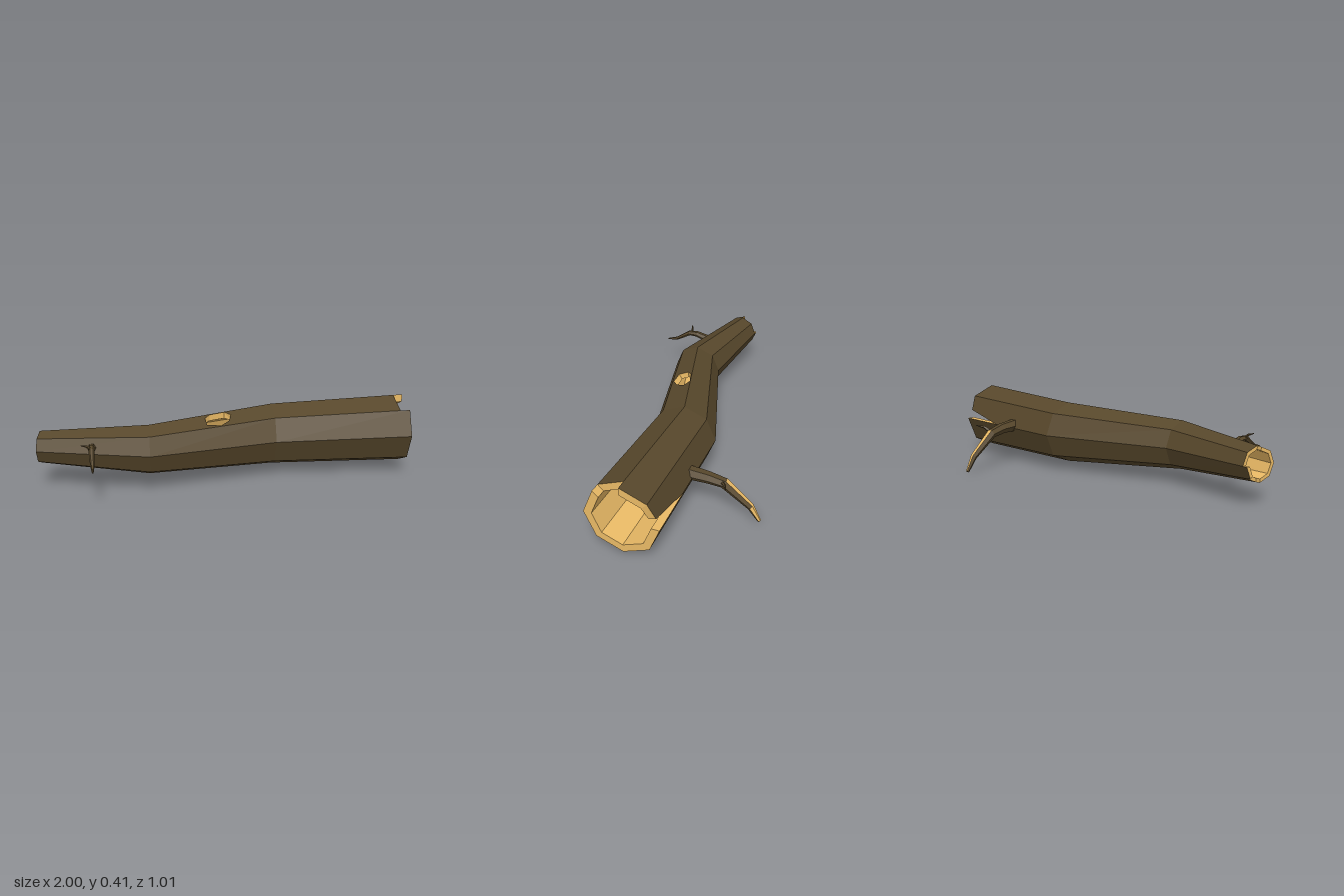
import * as THREE from 'three';

const V = (x, y, z) => new THREE.Vector3(x, y, z);
const bark = new THREE.MeshStandardMaterial({ color: 0x57472b, flatShading: true });
const wood = new THREE.MeshStandardMaterial({ color: 0xebbb66, flatShading: true });

function makeMesh(name, points, material) {
  const geo = new THREE.BufferGeometry().setFromPoints(points);
  geo.computeVertexNormals();
  const mesh = new THREE.Mesh(geo, material);
  mesh.name = name;
  return mesh;
}

// Trunk rings: centre x, y, z, radius and lean of the end cut
const rings = [
  { x: -0.982, y: 0.21, z: 0.083, r: 0.087, lean: -0.2 },
  { x: -0.42, y: 0.208, z: 0.195, r: 0.132, lean: 0 },
  { x: 0.26, y: 0.212, z: 0.006, r: 0.171, lean: 0 },
  { x: 1.0, y: 0.225, z: 0.02, r: 0.19, lean: 0 },
];
const SIDES = 8, INNER = 0.78;

// Point on a ring: k counts corners from the top towards the back
function ringPoint(ring, k, scale) {
  const a = (k / SIDES) * Math.PI * 2;
  const dz = -Math.sin(a) * ring.r * scale;
  return V(ring.x + dz * ring.lean, ring.y + Math.cos(a) * ring.r * scale, ring.z + dz);
}

// Outlines of the broken staves, u along the trunk and v around it
const full = [[0, 0], [1, 0], [1, 1], [0, 1]];
const shortStart = [[0.045, 0], [1, 0], [1, 1], [0.045, 1]];
const shortEnd = [[0, 0], [0.93, 0], [0.93, 1], [0, 1]];
const split = [[0, 0], [1, 0], [0.98, 0.62], [0.62, 1], [0, 1]];
const outlines = { '0,0': shortStart, '0,1': shortStart, '0,3': shortStart, '2,7': shortEnd, '2,1': split };
const knotHole = [[0.44, 0.75], [0.45, 0.25], [0.56, 0.06], [0.625, 0.3], [0.65, 0.7], [0.6, 0.97], [0.48, 0.95]];

function hollowTrunk() {
  const outer = [], inner = [];
  const toPath = (pts) => pts.map(([x, y]) => new THREE.Vector2(x, y));
  for (let s = 0; s < rings.length - 1; s++) {
    for (let k = 0; k < SIDES; k++) {
      const shape = new THREE.Shape(toPath(outlines[`${s},${k}`] || full));
      if (s === 1 && k === 7) shape.holes.push(new THREE.Path(toPath(knotHole)));
      let geo = new THREE.ExtrudeGeometry(shape, { depth: 1, bevelEnabled: false });
      if (geo.index) geo = geo.toNonIndexed();
      const p = geo.attributes.position;
      // Bend each flat stave into its place between two rings
      for (let i = 0; i < p.count; i += 3) {
        const tri = [0, 1, 2].map((j) => i + j);
        const isBark = tri.every((j) => p.getZ(j) > 0.5);
        for (const j of tri) {
          const u = p.getX(j), v = p.getY(j), scale = p.getZ(j) > 0.5 ? 1 : INNER;
          const edge = (n) => ringPoint(rings[s], n, scale).lerp(ringPoint(rings[s + 1], n, scale), u);
          (isBark ? outer : inner).push(edge(k).lerp(edge(k + 1), v));
        }
      }
    }
  }
  const group = new THREE.Group();
  group.name = 'hollowTrunk';
  group.add(makeMesh('trunkBark', outer, bark), makeMesh('trunkWood', inner, wood));
  return group;
}

// Tapered branch through points [x, y, z, radius]; peeled lists bare faces as 'segment,side'
function branch(name, path, sides, peeled = []) {
  const pts = path.map(([x, y, z]) => V(x, y, z));
  const loops = pts.map((p, i) => {
    const t = pts[Math.min(i + 1, pts.length - 1)].clone().sub(pts[Math.max(i - 1, 0)]).normalize();
    const ref = Math.abs(t.y) > 0.95 ? V(1, 0, 0) : V(0, 1, 0);
    const side = ref.cross(t).normalize();
    const up = t.clone().cross(side);
    return Array.from({ length: sides }, (_, k) => {
      const a = (k / sides) * Math.PI * 2;
      return p.clone().addScaledVector(side, Math.cos(a) * path[i][3]).addScaledVector(up, Math.sin(a) * path[i][3]);
    });
  });
  const skin = [], bare = [];
  for (let i = 0; i < loops.length - 1; i++) {
    for (let k = 0; k < sides; k++) {
      const n = (k + 1) % sides;
      const a = loops[i][k], b = loops[i][n], c = loops[i + 1][n], d = loops[i + 1][k];
      (peeled.includes(`${i},${k}`) ? bare : skin).push(a, b, c, a, c, d);
    }
  }
  const tip = loops[loops.length - 1];
  for (let k = 1; k < sides - 1; k++) skin.push(tip[0], tip[k], tip[k + 1]);
  const group = new THREE.Group();
  group.name = name;
  group.add(makeMesh(name + 'Bark', skin, bark));
  if (bare.length) group.add(makeMesh(name + 'Wood', bare, wood));
  return group;
}

export function createModel() {
  const model = new THREE.Group();
  model.name = 'hollowLog';
  model.add(hollowTrunk());

  // Large drooping branch at the back with its twig
  model.add(branch('backBranch', [
    [0.575, 0.232, -0.14, 0.036], [0.57, 0.224, -0.24, 0.031], [0.562, 0.205, -0.32, 0.027],
    [0.555, 0.09, -0.455, 0.018], [0.553, 0.012, -0.501, 0.009],
  ], 6, ['2,1', '3,1', '3,2']));
  model.add(branch('backTwig', [
    [0.565, 0.205, -0.31, 0.012], [0.61, 0.238, -0.335, 0.008], [0.655, 0.246, -0.358, 0.002],
  ], 4));

  // Small branch at the front with its twig
  model.add(branch('frontBranch', [
    [-0.712, 0.235, 0.22, 0.023], [-0.71, 0.262, 0.31, 0.018], [-0.708, 0.262, 0.36, 0.015],
    [-0.703, 0.21, 0.445, 0.01], [-0.7, 0.198, 0.503, 0.004],
  ], 6));
  model.add(branch('frontTwig', [
    [-0.708, 0.262, 0.345, 0.008], [-0.732, 0.284, 0.35, 0.006], [-0.758, 0.292, 0.36, 0.002],
  ], 4));
  return model;
}
